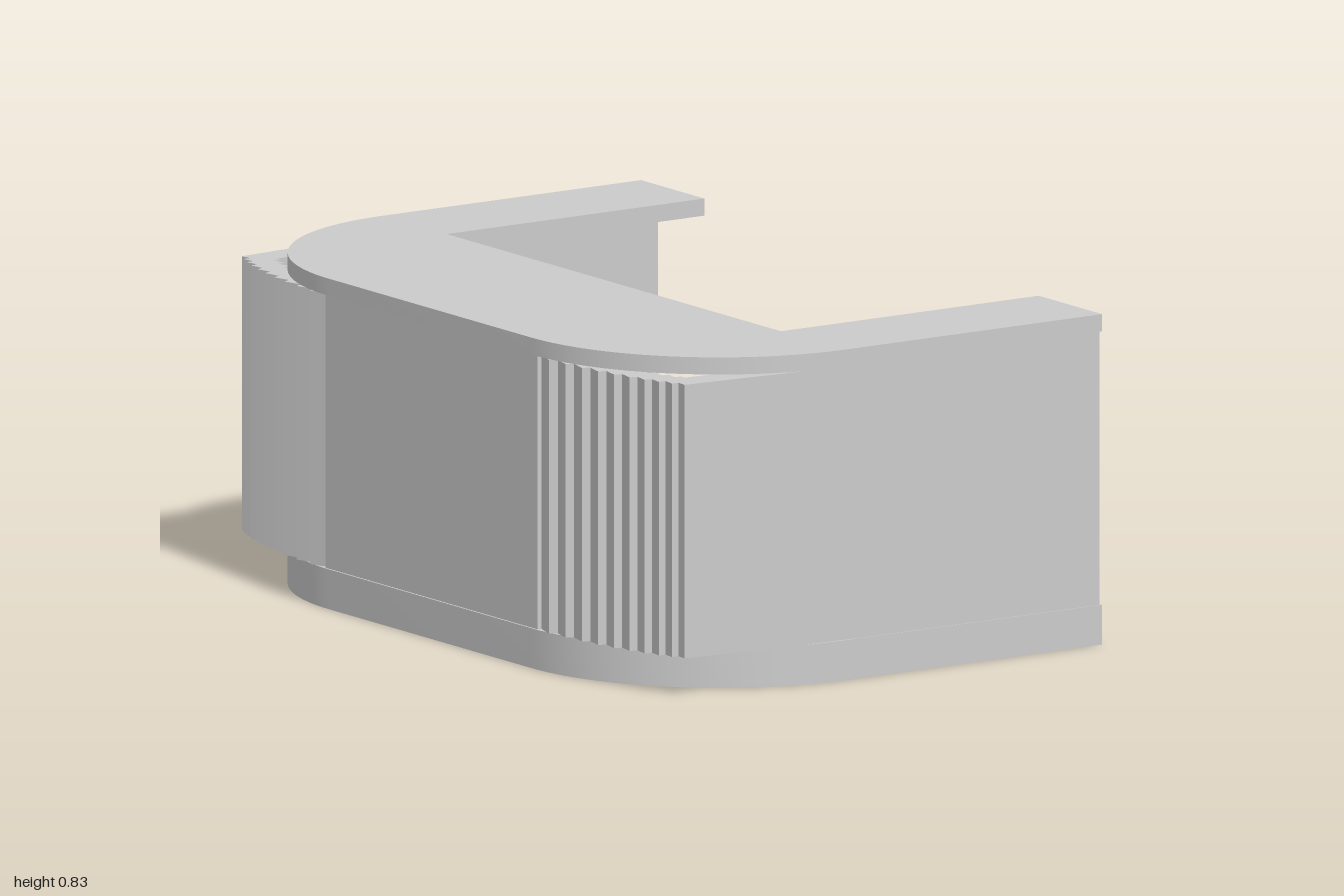
import * as THREE from 'three';
import { toCreasedNormals } from 'three/addons/utils/BufferGeometryUtils.js';

const material = new THREE.MeshStandardMaterial({ color: 0xcccccc });
const BASE_TOP = 0.1, WALL_TOP = 0.787, TOP = 0.83;
const LEFT = -0.66, RIGHT = 0.66, CX = -0.11, CZ = 0.44, R = 0.55;

// Extrude a plan outline (x, z) between two heights
function slab(name, shape, y0, y1) {
  const g = new THREE.ExtrudeGeometry(shape, { depth: y1 - y0, bevelEnabled: false, curveSegments: 14 });
  g.rotateX(Math.PI / 2);
  g.translate(0, y1, 0);
  const mesh = new THREE.Mesh(toCreasedNormals(g, 0.4), material);
  mesh.name = name;
  return mesh;
}

const polygon = (points, side = 1) =>
  new THREE.Shape(points.map(([x, z]) => new THREE.Vector2(x, z * side)));

// Outer outline with two rounded corners, from the front right end to the back right end
function outline() {
  const s = new THREE.Shape();
  s.moveTo(RIGHT, 1);
  s.lineTo(CX, 1);
  s.absellipse(CX, CZ, R, 1 - CZ, Math.PI / 2, Math.PI, false);
  s.lineTo(LEFT, -CZ);
  s.absellipse(CX, -CZ, R, 1 - CZ, Math.PI, Math.PI * 1.5, false);
  s.lineTo(RIGHT, -1);
  return s;
}

export function createModel() {
  const model = new THREE.Group();
  model.name = 'counterBooth';

  // Full floor plate
  model.add(slab('base', outline(), 0, BASE_TOP));

  // U-shaped worktop: wide at the closed side, narrow along both arms
  const top = outline();
  [[RIGHT, -0.725], [CX, -0.725], [CX, 0.725], [RIGHT, 0.725]].forEach(([x, z]) => top.lineTo(x, z));
  model.add(slab('worktop', top, WALL_TOP, TOP));

  // Straight wall on the closed side
  model.add(slab('closedWall', polygon([[-0.655, -0.46], [-0.58, -0.46], [-0.58, 0.46], [-0.655, 0.46]]),
    BASE_TOP, WALL_TOP));

  for (const side of [1, -1]) {
    const end = side > 0 ? 'front' : 'back';
    const wall = (name, points) => model.add(slab(end + name, polygon(points, side), BASE_TOP, WALL_TOP));

    // Arm wall, two narrow joint strips and the plain corner panel
    wall('ArmWall', [[0.655, 0.997], [-0.08, 0.997], [-0.08, 0.92], [0.655, 0.92]]);
    wall('JointStripA', [[-0.08, 0.995], [-0.13, 0.993], [-0.13, 0.916], [-0.08, 0.918]]);
    wall('JointStripB', [[-0.13, 0.994], [-0.21, 0.988], [-0.21, 0.911], [-0.13, 0.917]]);
    wall('CornerPanel', [[-0.21, 0.989], [-0.56, 0.96], [-0.53, 0.885], [-0.21, 0.911]]);

    // Fluted corner: saw-toothed strip following a curve
    const curve = new THREE.CubicBezierCurve(
      new THREE.Vector2(-0.56, 0.96), new THREE.Vector2(-0.615, 0.87),
      new THREE.Vector2(-0.66, 0.68), new THREE.Vector2(-0.663, 0.45));
    const flutes = 10, outer = [], inner = [];
    const offset = (t, d) => {
      const p = curve.getPoint(t), n = curve.getTangent(t);
      return [p.x - n.y * d, p.y + n.x * d];
    };
    for (let i = 0; i < flutes; i++) {
      const a = i / flutes, b = (i + 1) / flutes;
      outer.push(offset(a, 0), offset(b - 0.02, 0.018));
      inner.push(offset(a, 0.07), offset(b - 0.02, 0.088));
    }
    wall('FlutedCorner', [...outer, ...inner.reverse()]);
  }
  return model;
}
